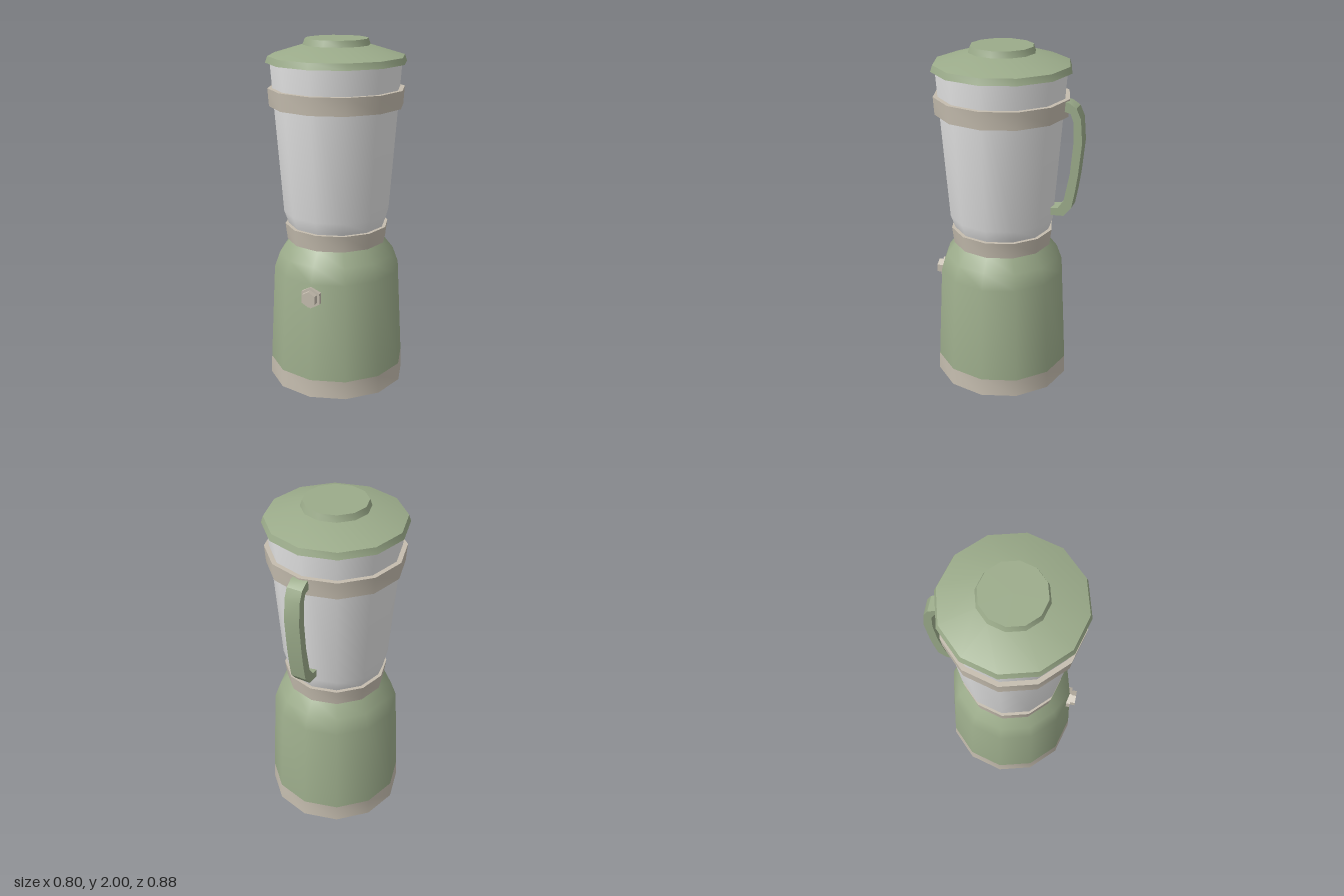
import * as THREE from 'three';
import { toCreasedNormals } from 'three/addons/utils/BufferGeometryUtils.js';

const SIDES = 12;
const AXIS_Z = 0.033; // the round body sits slightly forward of centre

function material(name, color) {
  const m = new THREE.MeshStandardMaterial({ color });
  m.name = name;
  return m;
}

export function createModel() {
  const model = new THREE.Group();
  model.name = 'blender';
  const green = material('sage green', 0x9bab8a);
  const trim = material('warm grey trim', 0xc4bcae);
  const jarGrey = material('jar light grey', 0xe6e6e6);

  function add(name, geometry, mat) {
    const mesh = new THREE.Mesh(geometry, mat);
    mesh.name = name;
    model.add(mesh);
    return mesh;
  }

  // Closed twelve-sided turned part from [radius, height] points, bottom to top
  function turned(name, points, mat) {
    const closed = [[0, points[0][1]], ...points, [0, points[points.length - 1][1]]];
    const lathe = new THREE.LatheGeometry(closed.map(([r, y]) => new THREE.Vector2(r, y)), SIDES);
    add(name, toCreasedNormals(lathe, 0.65), mat).position.z = AXIS_Z;
  }

  // Motor base
  turned('baseBand', [[0.4, 0], [0.396, 0.105]], trim);
  turned('motorHousing', [[0.396, 0.105], [0.367, 0.68], [0.335, 0.77], [0.273, 0.85]], green);
  turned('collar', [[0.288, 0.85], [0.3, 0.945]], trim);

  // Jar and its band
  turned('jar', [[0.272, 0.93], [0.283, 0.955], [0.306, 1.02], [0.371, 1.87]], jarGrey);
  turned('jarBand', [[0.38, 1.63], [0.387, 1.73]], trim);

  // Lid and cap
  turned('lid', [[0.396, 1.87], [0.384, 1.906], [0.19, 1.965]], green);
  turned('lidCap', [[0.19, 1.962], [0.177, 2.0]], green);

  // Handle: side outline as [distance behind centre, height], extruded across x
  const outline = [
    [0.32, 1.726], [0.36, 1.72], [0.403, 1.692], [0.429, 1.634], [0.44, 1.5],
    [0.423, 1.316], [0.408, 1.21], [0.39, 1.114], [0.345, 1.06], [0.27, 1.056],
    [0.27, 1.1], [0.312, 1.105], [0.344, 1.15], [0.376, 1.316], [0.392, 1.5],
    [0.387, 1.618], [0.371, 1.66], [0.32, 1.675],
  ];
  const shape = new THREE.Shape(outline.map(([d, y]) => new THREE.Vector2(d, y)));
  const handle = new THREE.ExtrudeGeometry(shape, { depth: 0.09, bevelEnabled: false });
  handle.translate(0, 0, -0.045).rotateY(Math.PI / 2);
  add('handle', toCreasedNormals(handle, 0.5), green);

  // Hexagonal control knob in two tiers
  for (const [name, radius, back, front] of [
    ['knobFlange', 0.063, 0.385, 0.412],
    ['knob', 0.046, 0.405, 0.442],
  ]) {
    const hex = new THREE.CylinderGeometry(radius, radius, front - back, 6);
    hex.rotateX(Math.PI / 2);
    add(name, toCreasedNormals(hex, 0.5), trim).position.set(0, 0.605, (back + front) / 2);
  }

  return model;
}
